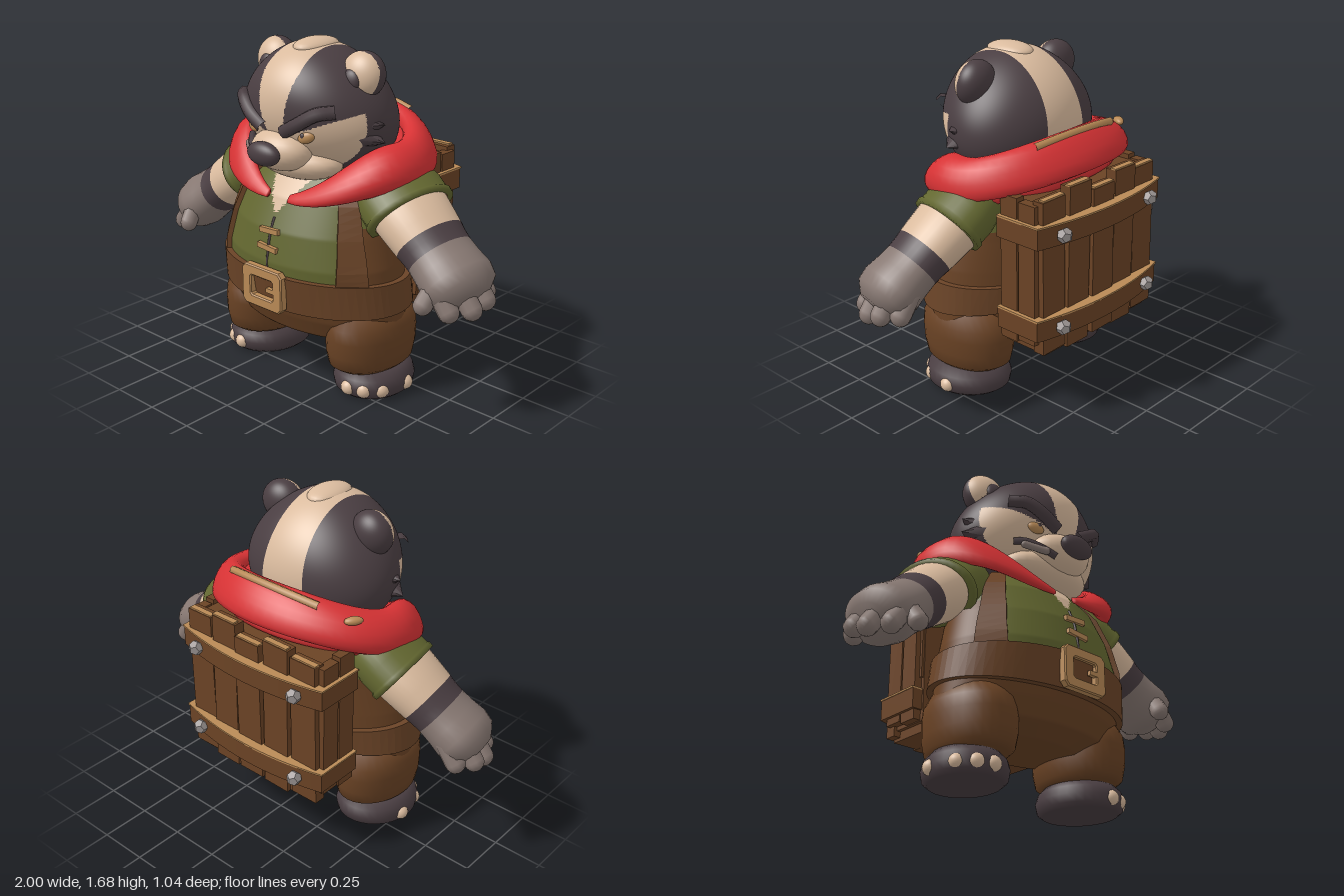
import * as THREE from 'three';

const material = (name, color) => {
  const m = new THREE.MeshStandardMaterial({ color });
  m.name = name;
  return m;
};
const V = (x, y, z) => new THREE.Vector3(x, y, z);

// Skin through rings of points; each ring turns right-handed about the path
function loft(rings, flat = false, caps = true) {
  const n = rings[0].length, pos = [], idx = [];
  rings.forEach(r => r.forEach(p => pos.push(p.x, p.y, p.z)));
  for (let i = 0; i < rings.length - 1; i++) for (let j = 0; j < n; j++) {
    const k = (j + 1) % n, a = i * n + j, b = i * n + k;
    idx.push(a, b, b + n, a, b + n, a + n);
  }
  if (caps) [0, rings.length - 1].forEach((row, end) => {
    const c = rings[row].reduce((s, p) => s.add(p), V(0, 0, 0)).divideScalar(n), ci = pos.length / 3;
    pos.push(c.x, c.y, c.z);
    for (let j = 0; j < n; j++) {
      const a = row * n + j, b = row * n + (j + 1) % n;
      idx.push(ci, end ? a : b, end ? b : a);
    }
  });
  let g = new THREE.BufferGeometry();
  g.setAttribute('position', new THREE.Float32BufferAttribute(pos, 3));
  g.setIndex(idx);
  if (flat) g = g.toNonIndexed();
  g.computeVertexNormals();
  return g;
}

// Sort triangles into material groups by their centre
function paint(g, count, rule) {
  const p = g.attributes.position, ix = g.index.array, sets = Array.from({ length: count }, () => []);
  for (let i = 0; i < ix.length; i += 3) {
    const c = V(0, 0, 0);
    for (let k = 0; k < 3; k++) c.add(V().fromBufferAttribute(p, ix[i + k]));
    sets[rule(c.divideScalar(3))].push(ix[i], ix[i + 1], ix[i + 2]);
  }
  g.setIndex(sets.flat());
  let start = 0;
  sets.forEach((s, m) => { g.addGroup(start, s.length, m); start += s.length; });
  return g;
}

// Torso levels: height, half width, front z, back z
const LEVELS = [[.235, .3, .28, -.08], [.29, .47, .38, -.16], [.38, .52, .42, -.19], [.5, .51, .46, -.2], [.65, .49, .47, -.2],
  [.8, .45, .44, -.2], [.95, .41, .37, -.2], [1.05, .34, .28, -.18], [1.12, .2, .15, -.1]];
function onTorso(a, y, off = 0) {
  let i = 0;
  while (i < LEVELS.length - 2 && y > LEVELS[i + 1][0]) i++;
  const A = LEVELS[i], B = LEVELS[i + 1], t = (y - A[0]) / (B[0] - A[0]);
  const [rx, f, b] = [1, 2, 3].map(k => A[k] + (B[k] - A[k]) * t);
  return V((rx + off) * Math.sin(a), y, (f + b) / 2 + ((f - b) / 2 + off) * Math.cos(a));
}
const around = (n, fn) => Array.from({ length: n }, (_, j) => fn(j / n * Math.PI * 2));

export function createModel() {
  const root = new THREE.Group();
  root.name = 'badgerAdventurer';
  const dark = material('darkFur', 0x4a3e42), cream = material('creamFur', 0xdabb9e), gray = material('grayPaw', 0x877872);
  const red = material('redCloth', 0xd63234), green = material('greenCloth', 0x636730), brown = material('brownCloth', 0x694224);
  const leather = material('leather', 0x6b4427), wood = material('wood', 0x6b4325), tan = material('tan', 0xb98a56);
  const iron = material('iron', 0x9a9391);

  const add = (name, geo, mat, pos, scale = [1, 1, 1], rot = [0, 0, 0]) => {
    const m = new THREE.Mesh(geo, mat);
    m.name = name;
    m.position.set(...(pos || [0, 0, 0])); m.scale.set(...scale); m.rotation.set(...rot);
    root.add(m);
    return m;
  };
  const ballGeo = new THREE.SphereGeometry(1, 28, 18);
  const ball = (name, mat, pos, scale, rot) => add(name, ballGeo, mat, pos, scale, rot);
  const box = (name, mat, size, pos, rot) => add(name, new THREE.BoxGeometry(...size), mat, pos, [1, 1, 1], rot);
  const aim = (m, d) => m.quaternion.setFromUnitVectors(V(0, 1, 0), d.clone().normalize());
  const lathe = pts => new THREE.LatheGeometry(pts.map(p => new THREE.Vector2(...p)), 32);
  const tube = (name, mat, pts, r) =>
    add(name, new THREE.TubeGeometry(new THREE.CatmullRomCurve3(pts.map(p => V(...p))), 20, r, 7), mat);
  const finger = (name, mat, a, b, r) => {
    const d = V(...b).sub(V(...a));
    const m = add(name, new THREE.CapsuleGeometry(r, d.length(), 5, 10), mat, a.map((v, i) => (v + b[i]) / 2));
    aim(m, d);
  };

  // Torso: trousers, tunic, brown side panels and open collar
  const rows = Array.from({ length: 119 }, (_, i) => .235 + i * .0075);
  add('torso', paint(loft(rows.map(y => around(120, a => onTorso(a, y)))), 3, c => {
    if (c.y < .52) return 0;
    if (c.z > 0 && c.y > .87 && Math.abs(c.x) < (c.y - .87) * .7) return 2;
    return c.y < .85 && (c.z < 0 || (Math.abs(c.x) > .36 && c.z < .32)) ? 0 : 1;
  }), [brown, green, cream]);

  // Belt and buckle
  const beltRows = [[.44, -.01], [.44, .03], [.59, .03], [.59, -.01]];
  add('belt', loft(beltRows.map(([y, o]) => around(64, a => {
    const p = onTorso(a, y, o);
    p.y += y < .5 ? -.015 * Math.cos(a) : .012 * Math.cos(a);
    return p;
  })), true, false), leather);
  const rect = (P, w, h) => {
    const p = new P();
    p.moveTo(-w, -h * .8); p.lineTo(-w * .85, -h); p.lineTo(w * .85, -h); p.lineTo(w, -h * .8);
    p.lineTo(w, h * .8); p.lineTo(w * .85, h); p.lineTo(-w * .85, h); p.lineTo(-w, h * .8);
    p.closePath();
    return p;
  };
  const frame = rect(THREE.Shape, .125, .097);
  frame.holes.push(rect(THREE.Path, .078, .056));
  add('buckle', new THREE.ExtrudeGeometry(frame, { depth: .03, bevelSize: .006, bevelThickness: .006, bevelSegments: 1 }),
    tan, [0, .525, .474]);
  box('bucklePin', tan, [.08, .022, .02], [.07, .525, .5]);

  // Tunic opening and laces
  tube('tunicOpening', dark, [.86, .78, .7, .62].map(y => [0, y, onTorso(0, y).z]), .007);
  [.8, .72].forEach((y, i) => box('lace', tan, [.12, .026, .02], [0, y, onTorso(0, y).z + .006], [0, 0, i ? -.08 : .05]));

  // Shoulder straps
  for (const s of [-1, 1]) {
    const path = Array.from({ length: 15 }, (_, i) => i / 14);
    add('strap', loft(path.map(t => {
      const y = .55 + t * .51, a = s * (.95 - .1 * t + .07 * Math.sin(Math.PI * t)), d = .19 - .07 * t;
      return [onTorso(a - d, y, .026), onTorso(a + d, y, .026), onTorso(a + d, y, -.02), onTorso(a - d, y, -.02)];
    }), true), leather);
  }

  for (const s of [-1, 1]) {
    // Legs and feet
    add('trouserLeg', lathe([[0, .13], [.15, .13], [.176, .155], [.187, .22], [.19, .3], [.185, .36], [.15, .44], [0, .47]]),
      brown, [s * .347, 0, .11], [1, 1, 1.36]);
    add('foot', lathe([[0, 0], [.165, 0], [.188, .02], [.195, .06], [.185, .1], [.15, .14], [0, .16]]),
      dark, [s * .36, 0, .1], [1, 1, 1.13], [0, s * .25, 0]);
    [.05, .5, .95, 1.7].forEach(a => ball('toeClaw', cream,
      [s * (.36 + .172 * Math.sin(a)), .052, .1 + .195 * Math.cos(a)], [.04, .038, .04]));

    // Arm with fur band, sleeve and paw
    const dir = V(s * .8, -.6, .14), start = [s * .45, .97, .035];
    const arm = lathe([[0, -.06], [.13, -.04], [.147, .1], [.14, .2], [.135, .26], [.13, .3], [.128, .35], [.132, .42],
      [.14, .49], [.13, .55], [.08, .6], [0, .61]]);
    aim(add('arm', paint(arm, 3, c => c.y < .26 ? 0 : c.y < .35 ? 1 : 2), [cream, dark, gray], start, [1, 1, 1.32]), dir);
    aim(add('sleeve', lathe([[0, -.18], [.09, -.17], [.14, -.1], [.158, 0], [.157, .07], [.165, .08], [.163, .105], [.14, .105]]),
      green, start, [1, 1, 1.42]), dir);
    [[.225, .885, .578], [.135, .945, .578], [.045, .952, .6], [-.03, .9, .605]].forEach(([z, x, y]) =>
      finger('finger', gray, [s * (x - .06), y + .08, z], [s * x, y, z], .049));
    finger('thumb', gray, [s * .8, .68, .22], [s * .785, .6, .28], .046);
  }

  // Head: wide jowls, crown leaning forward, centre stripe, dark mask and pale cheeks
  const head = new THREE.SphereGeometry(1, 200, 140).rotateZ(Math.PI / 2);
  head.scale(.395, .315, .34);
  const hp = head.attributes.position, taper = y => 1 - .18 * y / .315;
  for (let i = 0; i < hp.count; i++) {
    const y = hp.getY(i), z = hp.getZ(i);
    hp.setX(i, hp.getX(i) * taper(y));
    hp.setZ(i, (z < 0 ? z * .9 : z) + .13 * y);
  }
  head.translate(0, 1.345, .08);
  head.computeVertexNormals();
  add('head', paint(head, 2, c => {
    const x = Math.abs(c.x), cheek = c.z > .19 + .1 * Math.max(0, 1.3 - c.y) && c.y < 1.235 + .4 * x;
    const stripe = c.z > .2 ? Math.min(.113, .045 + Math.max(0, c.y - 1.25) * .23) : .113;
    return cheek || (x / taper(c.y - 1.345) < stripe * 1.06 && c.y > 1.2) ? 1 : 0;
  }), [dark, cream]);
  ball('muzzle', cream, [0, 1.18, .355], [.165, .1, .12]);
  ball('chin', cream, [0, 1.115, .24], [.25, .095, .15]);
  ball('nose', dark, [0, 1.182, .475], [.096, .057, .046]);

  // Crooked mouth corner on the model's right
  tube('mouth', dark, [[-.25, 1.195, .3], [-.21, 1.19, .345], [-.15, 1.155, .395], [-.09, 1.12, .425]], .018);
  finger('tooth', gray, [-.225, 1.165, .35], [-.14, 1.135, .41], .018);

  // Crown clump
  ball('crownTuft', cream, [.01, 1.635, .13], [.085, .042, .13]);

  for (const s of [-1, 1]) {
    tube('brow', dark, [[s * .065, 1.285, .41], [s * .15, 1.335, .405], [s * .23, 1.385, .37], [s * .29, 1.395, .31]], .033);
    ball('eye', tan, [s * .17, 1.268, .37], [.042, .027, .02], [0, s * .4, s * .35]);
    ball('pupil', dark, [s * .16, 1.276, .386], [.012, .014, .008]);
    // Ears
    const ear = new THREE.SphereGeometry(1, 40, 28);
    add('ear', paint(ear, 2, c => c.z > .3 && c.y > -.2 - .5 * c.x * s ? 1 : 0), [dark, cream],
      [s * .275, 1.53, .1], [.11, .11, .088], [-.15, s * .1, -s * .25]);
    ball('innerEar', dark, [s * .268, 1.515, .178], [.05, .052, .028], [-.15, s * .1, 0]);
    // Cheek tufts
    [[.375, 1.315, .13, .2], [.385, 1.25, .14, -.1]].forEach(([x, y, z, up]) =>
      aim(add('cheekTuft', new THREE.ConeGeometry(.075, .11, 8), dark, [s * x, y, z], [.7, 1, 1.2]), V(s, up, -.1)));
  }

  // Scarf: an open wrap dipping to two points in front, plus a lower fold behind the shoulders
  const scarf = (name, gap, rx, rz, y0, rise, dip, thick, high) => {
    const N = 56;
    add(name, loft(Array.from({ length: N + 1 }, (_, i) => {
      const a = gap + (Math.PI * 2 - 2 * gap) * i / N;
      const k = .2 + .8 * Math.sin(Math.PI / 2 * Math.min(1, Math.min(i, N - i) / 11));
      const r = V(Math.sin(a), 0, Math.cos(a));
      const y = y0 + rise * Math.max(0, -r.z) ** 1.5 - dip * Math.max(0, r.z) ** 2.5;
      const c = V(rx * r.x, y, .03 + rz * r.z);
      return around(18, f => {
        const w = k * (1 + .07 * Math.cos(3 * f + 2 * a));
        return c.clone().addScaledVector(r, w * (thick * Math.sin(f) - .045 * Math.cos(f)))
          .add(V(0, w * high * Math.cos(f), 0));
      });
    })), red);
  };
  scarf('scarf', .14, .485, .355, 1.14, .095, .19, .068, .092);
  scarf('scarfFold', 1.15, .43, .28, 1.11, .05, 0, .08, .09);
  tube('scarfStitch', tan, [-.27, -.14, 0, .14, .27].map(x => [x, 1.32 - .35 * x * x, -.3 + .5 * x * x]), .02);
  ball('scarfPatch', tan, [-.42, 1.25, -.2], [.045, .02, .024], [0, .95, 0]);

  // Wooden backpack: core, uneven planks, bowed bands and studs
  box('packCore', wood, [.78, .7, .22], [0, .73, -.29]);
  box('packBase', wood, [.74, .1, .25], [0, .385, -.3]);
  [1.1, 1.13, 1.09, 1.14, 1.11].forEach((top, i) => {
    const x = (i - 2) * .164, z = -.408 - .01 * (2 - Math.abs(i - 2)), low = .35 - .015 * (i % 2);
    box('backPlank', wood, [.15, top - low, .06], [x, (top + low) / 2, z], [0, 0, (i % 2 ? 1 : -1) * .012]);
    box('plankEnd', tan, [.14, .008, .03], [x, top + .004, z - .012]);
    box('frontPlank', wood, [.15, .5, .05], [x, top - .25, -.21]);
  });
  for (const s of [-1, 1]) [-.25, -.36].forEach((z, i) =>
    box('sidePlank', wood, [.05, .72 - i * .03, .1], [s * .405, .745, z]));
  const bandGeo = (g, h) => {
    const p = new THREE.Shape();
    p.moveTo(-.445 - g, .19); p.lineTo(-.445 - g, .44 + g);
    p.quadraticCurveTo(0, .56 + g, .445 + g, .44 + g);
    p.lineTo(.445 + g, .19); p.closePath();
    return new THREE.ExtrudeGeometry(p, { depth: h, bevelEnabled: false, curveSegments: 16 }).rotateX(-Math.PI / 2);
  };
  for (const y of [.435, .895]) {
    add('packBand', bandGeo(0, .1), wood, [0, y, 0]);
    add('bandEdge', bandGeo(.004, .009), tan, [0, y + .1, 0]);
    for (const s of [-1, 1]) add('stud', new THREE.DodecahedronGeometry(.038), iron, [s * .315, y + .05, -.488]);
  }
  return root;
}
